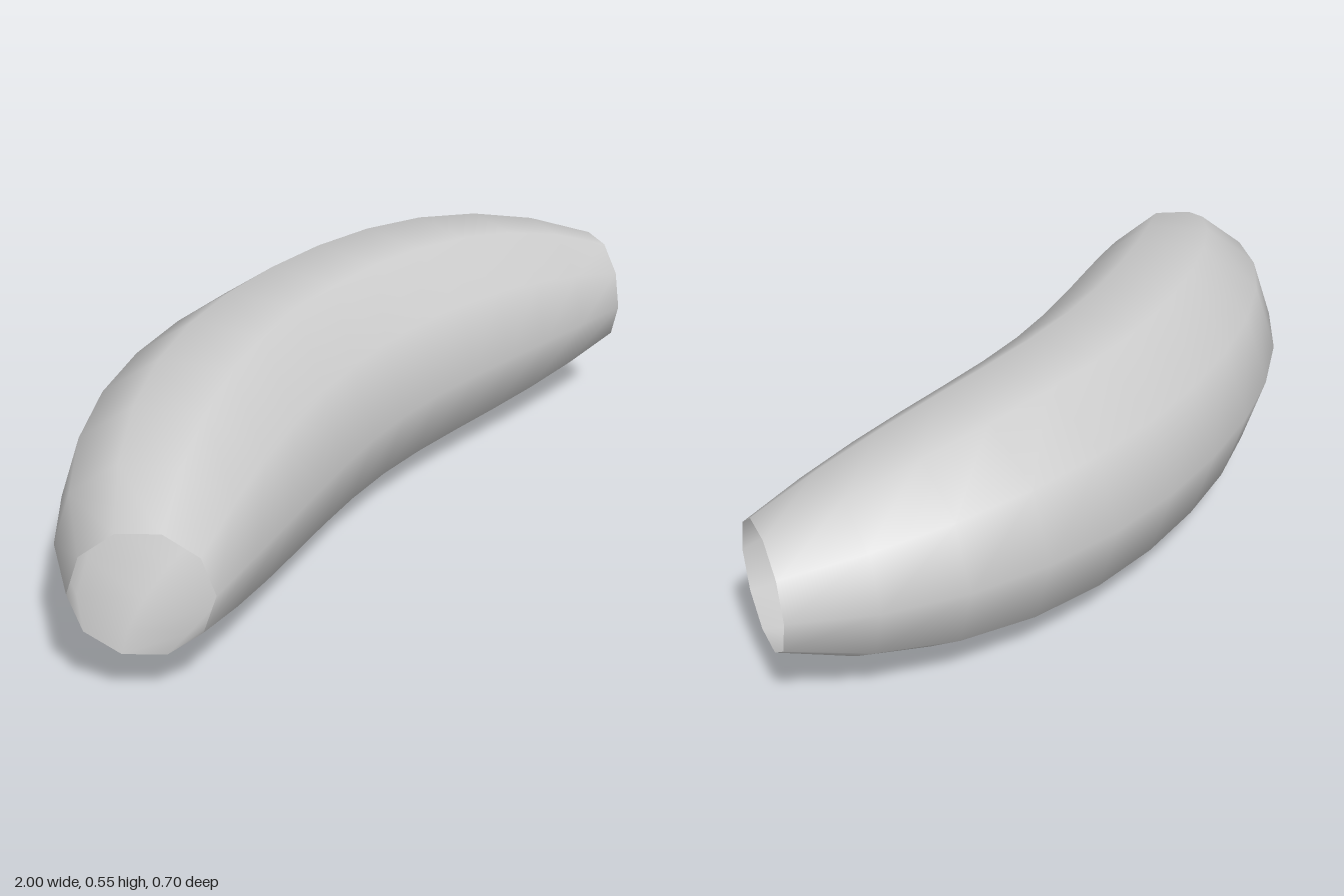
import * as THREE from 'three';

const SEGMENTS = 12; // rings along the bend
const SIDES = 10; // sides of the cross-section
const BEND_RADIUS = 1.6;
const HALF_ANGLE = THREE.MathUtils.degToRad(34.9);
const MID_RADIUS = 0.2915;
const BACK_OFFSET = 1.5415; // z of the bend's centre

// Bent tube, full in the middle and narrowing to half its radius at both open ends
function bentTube() {
  const positions = [];
  const indices = [];
  const height = MID_RADIUS * Math.sin(THREE.MathUtils.degToRad(72));

  for (let i = 0; i <= SEGMENTS; i++) {
    const t = (i / SEGMENTS) * 2 - 1;
    const bend = t * HALF_ANGLE;
    const radius = MID_RADIUS * (1 - 0.5 * Math.abs(t) ** 3);
    for (let j = 0; j < SIDES; j++) {
      const angle = (j / SIDES) * Math.PI * 2;
      const reach = BEND_RADIUS + radius * Math.cos(angle);
      positions.push(
        reach * Math.sin(bend),
        height + radius * Math.sin(angle),
        BACK_OFFSET - reach * Math.cos(bend)
      );
    }
  }

  for (let i = 0; i < SEGMENTS; i++) {
    for (let j = 0; j < SIDES; j++) {
      const next = (j + 1) % SIDES;
      const a = i * SIDES + j;
      const b = i * SIDES + next;
      const c = a + SIDES;
      const d = b + SIDES;
      indices.push(a, b, c, b, d, c);
    }
  }

  const geometry = new THREE.BufferGeometry();
  geometry.setAttribute('position', new THREE.Float32BufferAttribute(positions, 3));
  geometry.setIndex(indices);
  geometry.computeVertexNormals();
  return geometry;
}

export function createModel() {
  const group = new THREE.Group();
  group.name = 'curvedTube';

  const lightGrey = new THREE.MeshStandardMaterial({ color: 0xcccccc, side: THREE.DoubleSide });
  lightGrey.name = 'light grey';

  const shell = new THREE.Mesh(bentTube(), lightGrey);
  shell.name = 'tubeShell';
  group.add(shell);
  return group;
}
